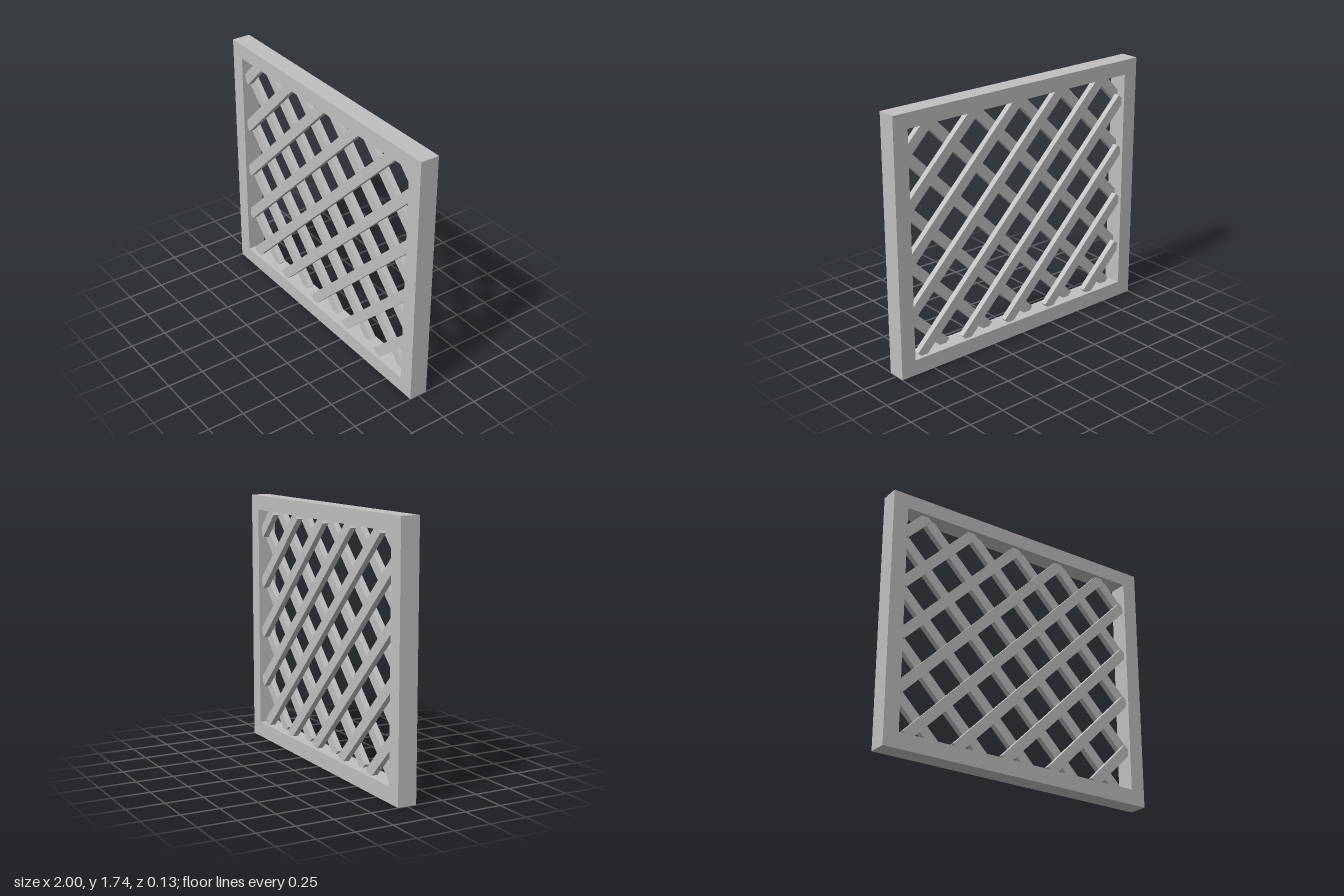
import * as THREE from 'three';

const WIDTH = 2, HEIGHT = 1.74, DEPTH = 0.128, BORDER = 0.105;
const SLAT_WIDTH = 0.07, SLAT_DEPTH = 0.04;
const SPACING = 0.358, FIRST = 0.219;

export function createModel() {
  const model = new THREE.Group();
  model.name = 'latticePanel';
  const grey = new THREE.MeshStandardMaterial({ color: 0xc0c0c0 });
  grey.name = 'lightGrey';

  // Inner edges of the frame
  const inX = WIDTH / 2 - BORDER, inBottom = BORDER, inTop = HEIGHT - BORDER + 0.005;

  // Rectangular frame with an open centre
  const rectangle = (PathType, x, y0, y1) => new PathType([
    new THREE.Vector2(-x, y0), new THREE.Vector2(x, y0),
    new THREE.Vector2(x, y1), new THREE.Vector2(-x, y1),
  ]);
  const outline = rectangle(THREE.Shape, WIDTH / 2, 0, HEIGHT);
  outline.holes.push(rectangle(THREE.Path, inX, inBottom, inTop));
  const frameGeometry = new THREE.ExtrudeGeometry(outline, { depth: DEPTH, bevelEnabled: false });
  frameGeometry.translate(0, 0, -DEPTH / 2);
  const frame = new THREE.Mesh(frameGeometry, grey);
  frame.name = 'frame';
  model.add(frame);

  // Two layers of diagonal slats: rising to +x in front, mirrored behind
  for (const side of [1, -1]) {
    const layer = new THREE.Group();
    layer.name = side > 0 ? 'frontSlats' : 'backSlats';
    for (let k = -2; k <= 6; k++) {
      // Centre line y = x + c, square-cut where it meets the frame
      const c = FIRST + k * SPACING;
      const x0 = Math.max(-inX, inBottom - c);
      const x1 = Math.min(inX, inTop - c);
      const slat = new THREE.Mesh(
        new THREE.BoxGeometry((x1 - x0) * Math.SQRT2, SLAT_WIDTH, SLAT_DEPTH), grey);
      const mid = (x0 + x1) / 2;
      slat.position.set(side * mid, mid + c, side * SLAT_DEPTH / 2);
      slat.rotation.z = side * Math.PI / 4;
      slat.name = 'slat';
      layer.add(slat);
    }
    model.add(layer);
  }
  return model;
}
